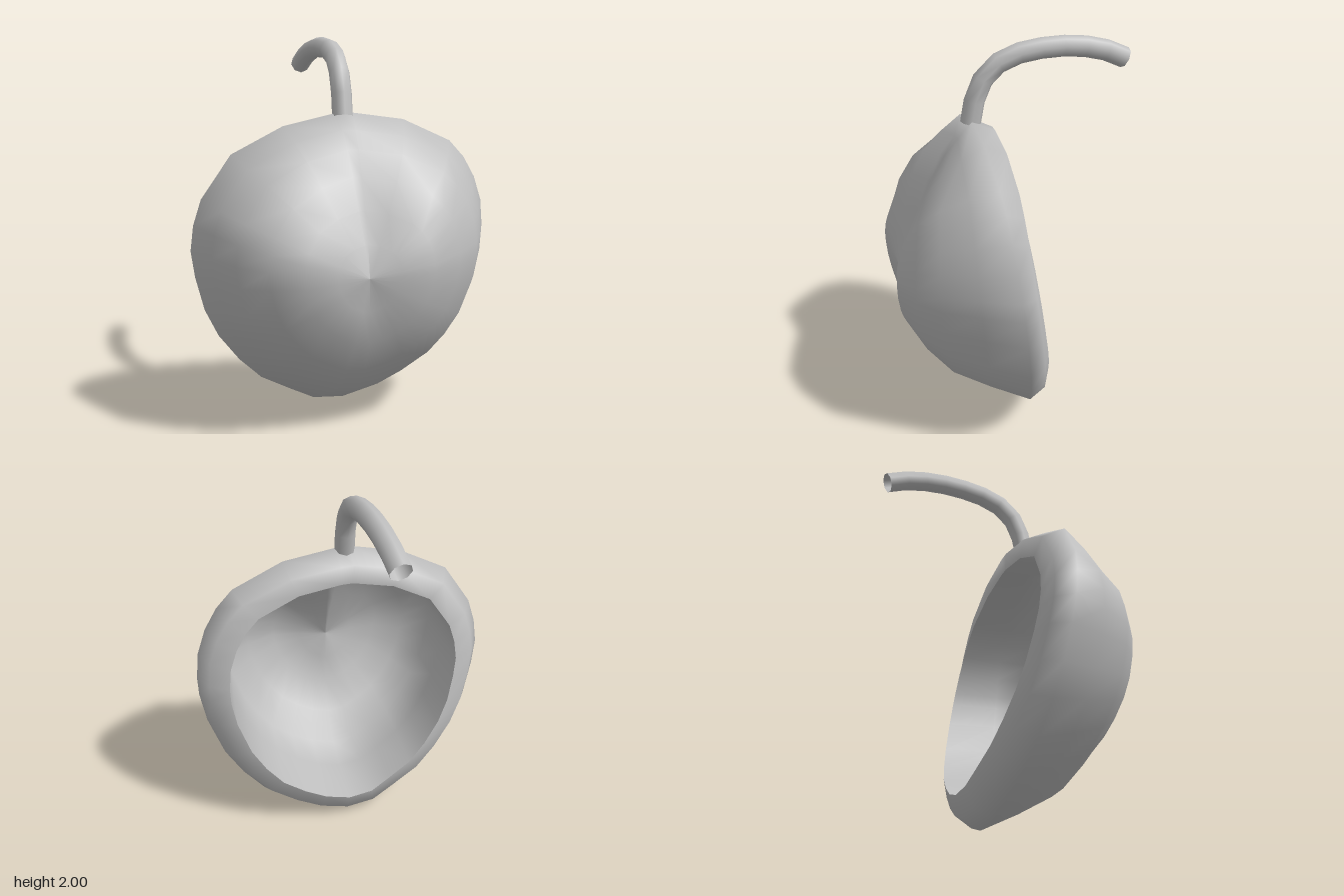
import * as THREE from 'three';

// Silhouette seen from the front, clockwise from the stem: [x, y]
const OUTLINE = [
  [0.02, 1.6], [0.3, 1.565], [0.57, 1.45], [0.66, 1.36], [0.73, 1.25], [0.78, 1.12], [0.8, 0.98],
  [0.8, 0.88], [0.775, 0.72], [0.7, 0.5], [0.61, 0.35], [0.5, 0.22], [0.35, 0.12], [0.2, 0.045],
  [0.03, 0.0], [-0.14, 0.015], [-0.28, 0.09], [-0.44, 0.18], [-0.56, 0.3], [-0.67, 0.45],
  [-0.74, 0.6], [-0.785, 0.78], [-0.805, 0.92], [-0.79, 1.05], [-0.75, 1.18], [-0.6, 1.4],
  [-0.34, 1.535], [-0.06, 1.6],
];
const CY = 0.83; // height of the bulge centre

// Bulge of the front at each ring, from the centre out to the edge
const RINGS = [0, 0.2, 0.4, 0.6, 0.77, 0.89, 1];
const SIDE = [1, 1, 0.98, 0.85, 0.66, 0.34, 0];
const TOP = [1, 0.94, 0.82, 0.65, 0.44, 0.23, 0];
const BOTTOM = [1, 0.96, 0.9, 0.73, 0.54, 0.28, 0];

const { lerp, smoothstep } = THREE.MathUtils;
const edgeZ = (x, y) => { const u = y / 1.6; return -0.05 + 0.339 * u - 0.109 * u * u - 0.066 * x; };
const rimZ = (x, y) => { const u = y / 1.6; return -0.18 + 0.378 * u - 0.138 * u * u - 0.055 * x; };
const upness = (x, y) => (y - CY) / Math.hypot(x, y - CY);

// Front surface: two soft lobes divided by a crease that is deepest below the stem
function frontZ(x, y, i) {
  const t = RINGS[i];
  const s = upness(x, y);
  const f = lerp(SIDE[i], (s > 0 ? TOP : BOTTOM)[i], s * s);
  const h = CY + (y - CY) * t;
  const depth = 0.05 * smoothstep(h, 0.2, CY) + 0.04 * smoothstep(h, CY, 1.15);
  const crease = depth * Math.max(0, 1 - Math.abs(x * t) / 0.32) * (1 - t ** 4);
  const peak = 0.64 - 0.055 * x * t;
  return lerp(edgeZ(x, y), peak, f) - crease;
}

// One ring: the outline shrunk by t, with its own depth rule
const ring = (t, depth) => OUTLINE.map(([x, y]) => [x * t, CY + (y - CY) * t, depth(x, y)]);

// Skin over successive rings
function skin(rings) {
  const n = OUTLINE.length;
  const index = [];
  for (let i = 0; i < rings.length - 1; i++)
    for (let j = 0; j < n; j++) {
      const k = (j + 1) % n;
      const [a, a1, b, b1] = [i * n + j, i * n + k, (i + 1) * n + j, (i + 1) * n + k];
      index.push(a, a1, b, a1, b1, b);
    }
  const geo = new THREE.BufferGeometry();
  geo.setAttribute('position', new THREE.Float32BufferAttribute(rings.flat(2), 3));
  geo.setIndex(index);
  geo.computeVertexNormals();
  return geo;
}

export function createModel() {
  const model = new THREE.Group();
  model.name = 'hollowFruitHalf';
  const grey = new THREE.MeshStandardMaterial({ color: 0xbfbfbf, side: THREE.DoubleSide });
  grey.name = 'grey';
  const add = (name, geometry) => {
    const mesh = new THREE.Mesh(geometry, grey);
    mesh.name = name;
    model.add(mesh);
  };

  // Outer skin: front bulge, then the lip turning in to the open rim
  const lipZ = (x, y) => lerp(edgeZ(x, y), rimZ(x, y), lerp(0.72, 1, Math.max(0, upness(x, y)) ** 2));
  add('outerSkin', skin([
    ...RINGS.map((t, i) => ring(t, (x, y) => frontZ(x, y, i))),
    ring(0.93, lipZ),
    ring(0.8, rimZ),
  ]));

  // Inner bowl: steep wall from the rim, then a floor just behind the front
  add('innerBowl', skin([
    ring(0.8, rimZ),
    ring(0.79, (x, y) => lerp(rimZ(x, y), frontZ(x, y, 4), 0.55)),
    ...[4, 3, 2, 1, 0].map((i) => ring(RINGS[i], (x, y) => frontZ(x, y, i) - 0.015)),
  ]));

  // Stem: open tube arching to the back
  const path = new THREE.CatmullRomCurve3([
    [-0.03, 1.58, 0.18], [-0.03, 1.74, 0.145], [-0.032, 1.85, 0.075], [-0.035, 1.915, -0.04],
    [-0.045, 1.945, -0.2], [-0.058, 1.945, -0.38], [-0.072, 1.915, -0.53], [-0.085, 1.87, -0.635],
  ].map((p) => new THREE.Vector3(...p)));
  add('stem', new THREE.TubeGeometry(path, 9, 0.054, 8, false));

  return model;
}
